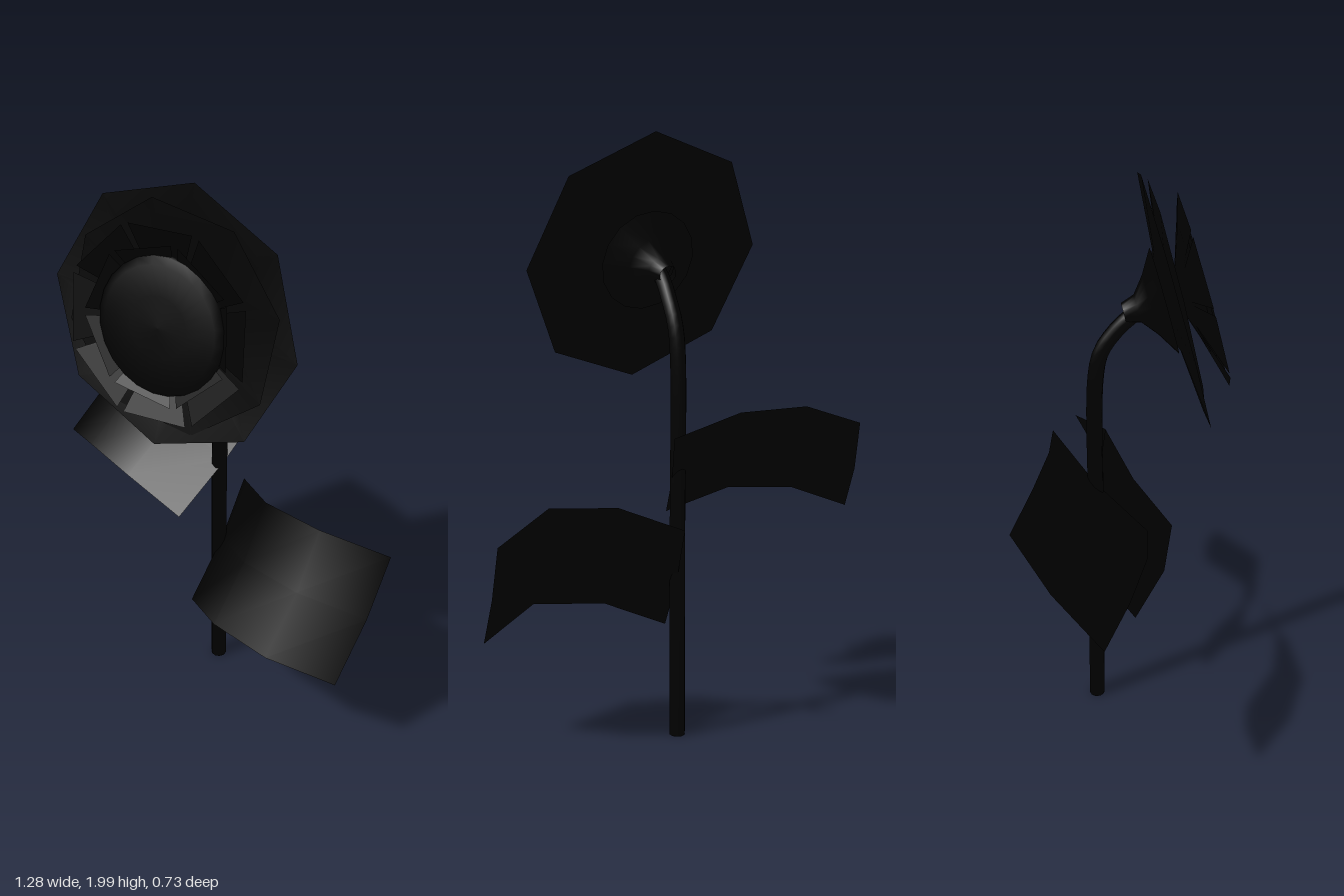
import * as THREE from 'three';

const black = new THREE.MeshStandardMaterial({ color: 0x000000, side: THREE.DoubleSide });
black.name = 'black';

function add(parent, name, geometry) {
  const mesh = new THREE.Mesh(geometry, black);
  mesh.name = name;
  parent.add(mesh);
  return mesh;
}

// Surface through rows of points, ordered bottom to top and left to right
function sheet(rows) {
  const n = rows[0].length, index = [];
  for (let r = 0; r < rows.length - 1; r++) {
    for (let c = 0; c < n - 1; c++) {
      const a = r * n + c, b = a + n;
      index.push(a, a + 1, b + 1, a, b + 1, b);
    }
  }
  const g = new THREE.BufferGeometry();
  g.setAttribute('position', new THREE.Float32BufferAttribute(rows.flat(2), 3));
  g.setIndex(index);
  g.computeVertexNormals();
  return g;
}

// Leaf with a middle row that sags slightly backwards
function leaf(bottom, top) {
  const sag = [0.005, -0.005, -0.02];
  const middle = bottom.map((p, i) => p.map((v, k) => (v + top[i][k]) / 2 + sag[k]));
  return sheet([bottom, middle, top]);
}

// Turned form around the flower's own z axis
function turned(profile, sides) {
  const g = new THREE.LatheGeometry(profile.map(p => new THREE.Vector2(...p)), sides);
  return g.rotateX(Math.PI / 2);
}

// Ring of separate flat petals opening forwards
function petalRing(parent, name, count, outer, depth, start) {
  for (let i = 0; i < count; i++) {
    const w = Math.PI / count;
    const at = (r, a, z) => [r * Math.sin(a), r * Math.cos(a), z];
    const petal = add(parent, name, sheet([
      [at(0.04, -w, 0.02), at(0.04, w, 0.02)],
      [at(outer, -w * 0.9, depth), at(outer, w * 0.9, depth)],
    ]));
    petal.rotation.z = start + i * w * 2;
  }
}

export function createModel() {
  const flower = new THREE.Group();
  flower.name = 'flower';

  // Stem, bending forwards at the top
  const path = new THREE.CatmullRomCurve3([
    [-0.005, 0, -0.045], [-0.005, 0.7, -0.045], [-0.005, 1.31, -0.045], [-0.005, 1.4, -0.027],
    [-0.008, 1.465, 0.012], [-0.015, 1.52, 0.06], [-0.02, 1.56, 0.12],
  ].map(p => new THREE.Vector3(...p)));
  add(flower, 'stem', new THREE.TubeGeometry(path, 48, 0.026, 10));
  const foot = add(flower, 'stemBase', new THREE.CircleGeometry(0.026, 10));
  foot.rotation.x = Math.PI / 2;
  foot.position.set(-0.005, 0.001, -0.045);

  // Leaves
  add(flower, 'leftLeaf', leaf(
    [[-0.035, 0.345, 0.085], [0.13, 0.41, 0.21], [0.365, 0.43, 0.275], [0.585, 0.355, 0.2]],
    [[0.03, 0.745, -0.15], [0.195, 0.81, -0.01], [0.42, 0.83, 0.04], [0.64, 0.755, -0.04]]));
  add(flower, 'rightLeaf', leaf(
    [[-0.64, 0.72, -0.1], [-0.49, 0.78, 0], [-0.285, 0.79, 0.085], [-0.06, 0.73, 0.12]],
    [[-0.495, 1.08, -0.365], [-0.345, 1.135, -0.28], [-0.14, 1.125, -0.21], [0.085, 1.06, -0.175]]));

  // Flower head, tipped a little upwards
  const head = new THREE.Group();
  head.name = 'flowerHead';
  head.position.set(-0.02, 1.58, 0.195);
  head.rotation.x = -0.245;
  flower.add(head);

  // Funnel joining the stem to the petals
  add(head, 'calyx', turned([[0.03, -0.16], [0.045, -0.115], [0.095, -0.075], [0.17, -0.03]], 16));

  // Two broad eight-sided back layers
  add(head, 'outerPetals', turned([[0.08, -0.06], [0.17, -0.022], [0.425, 0]], 8)).rotation.z = -0.03;
  const second = add(head, 'secondPetals', turned([[0.03, -0.02], [0.17, -0.005], [0.37, 0.01]], 8));
  second.rotation.set(0.035, 0, 0.3);

  // Smaller front layers of loose petals
  petalRing(head, 'thirdPetal', 8, 0.315, 0.095, 0.1);
  petalRing(head, 'innerPetal', 7, 0.255, 0.092, 0.35);

  // Round seed disc
  add(head, 'seedDisc', turned(
    [[0.06, 0.02], [0.215, 0.07], [0.215, 0.088], [0.19, 0.1], [0.1, 0.105], [0, 0.107]], 24))
    .position.x = 0.01;

  return flower;
}
